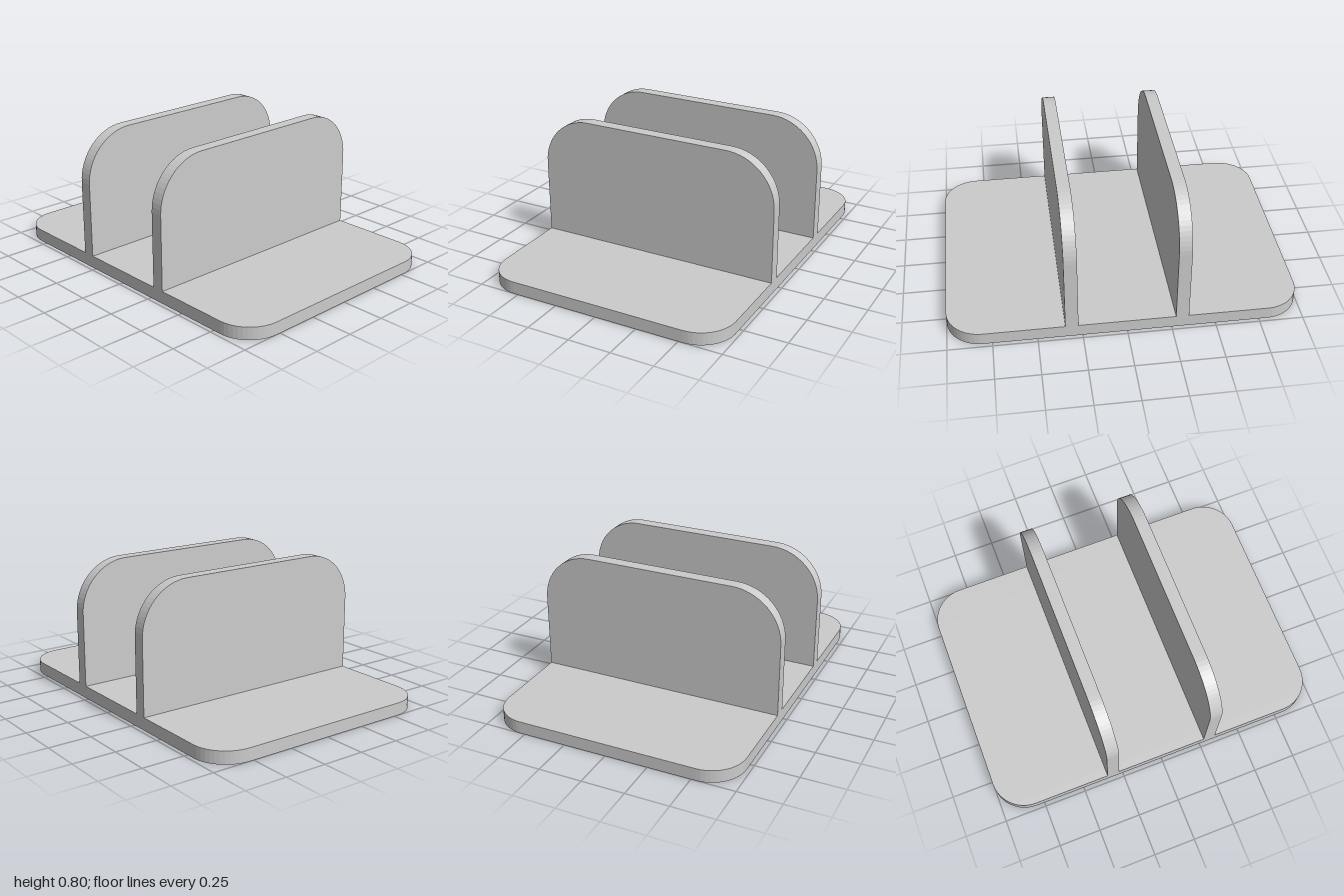
import * as THREE from 'three';

const DEPTH = 0.727;   // half depth shared by base and dividers
const THICK = 0.073;   // sheet thickness

const material = new THREE.MeshStandardMaterial({ color: 0xcccccc, flatShading: true });

// Rectangle outline with separate radii for the lower and upper corners
function roundedOutline(halfWidth, bottom, top, lowerRadius, upperRadius) {
  const shape = new THREE.Shape();
  const corner = (x, y, r, start) => {
    if (r > 0) shape.absarc(x, y, r, start, start + Math.PI / 2, false);
    else shape.lineTo(x, y);
  };
  const l = lowerRadius, u = upperRadius;
  shape.moveTo(-halfWidth + l, bottom);
  corner(halfWidth - l, bottom + l, l, -Math.PI / 2);
  corner(halfWidth - u, top - u, u, 0);
  corner(-halfWidth + u, top - u, u, Math.PI / 2);
  corner(-halfWidth + l, bottom + l, l, Math.PI);
  shape.closePath();
  return shape;
}

function sheet(name, shape, curveSegments) {
  const geometry = new THREE.ExtrudeGeometry(shape, { depth: THICK, bevelEnabled: false, curveSegments });
  const mesh = new THREE.Mesh(geometry, material);
  mesh.name = name;
  return mesh;
}

export function createModel() {
  const group = new THREE.Group();
  group.name = 'uprightHolder';

  // Flat base plate with rounded corners
  const base = sheet('basePlate', roundedOutline(1, -DEPTH, DEPTH, 0.2, 0.2), 6);
  base.rotation.x = -Math.PI / 2;
  group.add(base);

  // Two upright dividers, rounded at the top corners
  const outline = roundedOutline(DEPTH, THICK, 0.8, 0, 0.29);
  for (const [name, x] of [['rightDivider', -0.31], ['leftDivider', 0.31]]) {
    const divider = sheet(name, outline, 8);
    divider.rotation.y = Math.PI / 2;
    divider.position.x = x - THICK / 2;
    group.add(divider);
  }
  return group;
}
